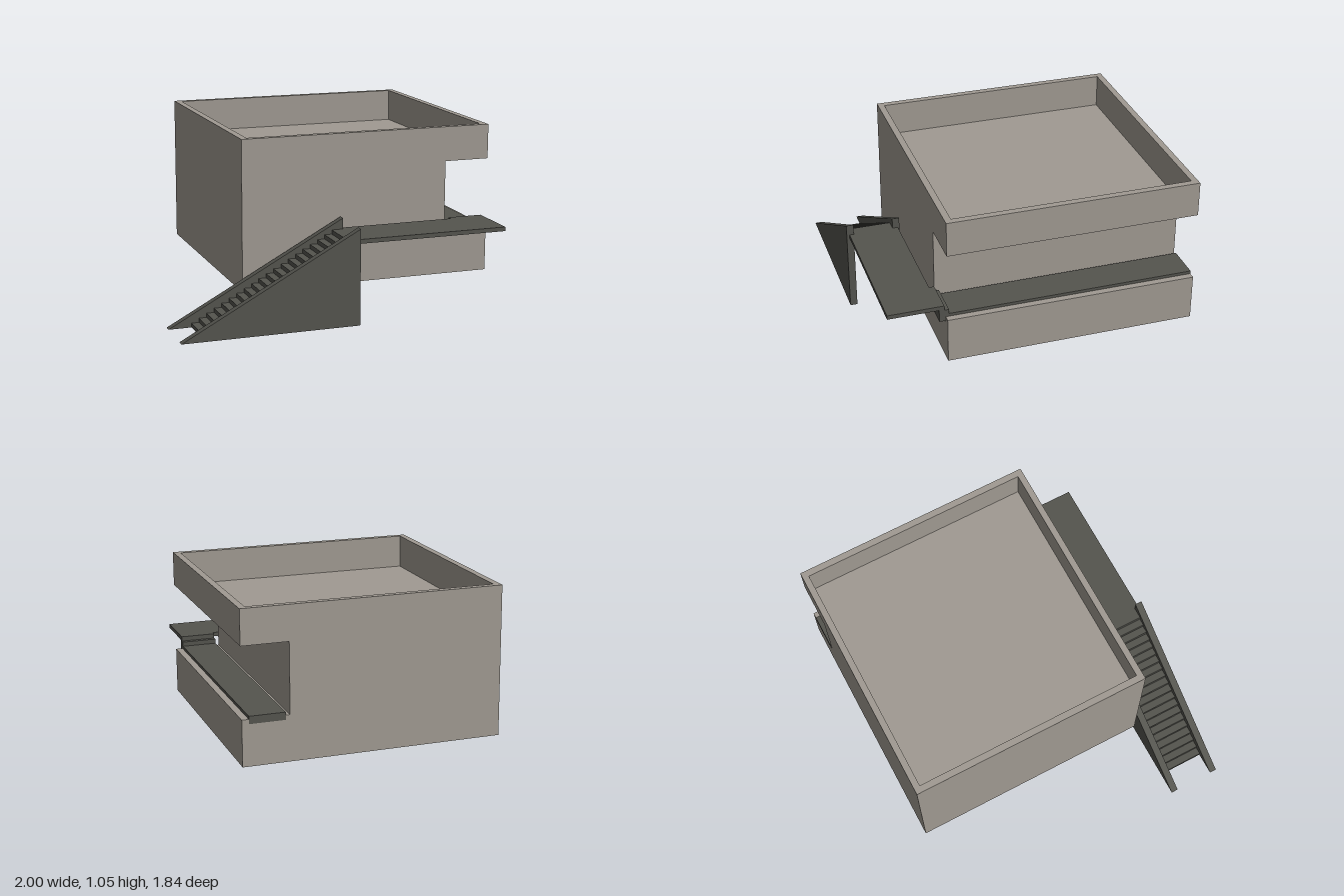
import * as THREE from 'three';

const concrete = new THREE.MeshStandardMaterial({ name: 'concrete', color: 0xa09a92 });
const darkSteel = new THREE.MeshStandardMaterial({ name: 'darkSteel', color: 0x54544e });

const polygon = (points) => new THREE.Shape(points.map(([x, y]) => new THREE.Vector2(x, y)));

// Extrudes an x/y profile from z0 to z1
function prism(shape, z0, z1) {
  const geometry = new THREE.ExtrudeGeometry(shape, { depth: z1 - z0, bevelEnabled: false });
  return geometry.translate(0, 0, z0);
}

function addMesh(parent, name, geometry, material) {
  const mesh = new THREE.Mesh(geometry, material);
  mesh.name = name;
  parent.add(mesh);
}

// Box given by its limits on each axis
function addBox(parent, name, [x0, x1], [y0, y1], [z0, z1], material) {
  const geometry = new THREE.BoxGeometry(x1 - x0, y1 - y0, z1 - z0);
  geometry.translate((x0 + x1) / 2, (y0 + y1) / 2, (z0 + z1) / 2);
  addMesh(parent, name, geometry, material);
}

export function createModel() {
  const model = new THREE.Group();
  model.name = 'buildingWithStair';
  const back = -0.918, front = 0.565, roof = 0.85;

  // Main block with the gallery cut into its left side
  const body = polygon([
    [-0.54, 0.155], [1, 0.155], [1, 0.427], [0.725, 0.427],
    [0.725, 0.843], [1, 0.843], [1, roof], [-0.54, roof],
  ]);
  addMesh(model, 'mainBlock', prism(body, back, front), concrete);

  // Parapet around the sunken roof
  const rim = polygon([[-0.54, -front], [1, -front], [1, -back], [-0.54, -back]]);
  rim.holes.push(polygon([[-0.5, -0.527], [-0.5, 0.88], [0.96, 0.88], [0.96, -0.527]]));
  const parapet = prism(rim, 0, 1.05 - roof).rotateX(-Math.PI / 2).translate(0, roof, 0);
  addMesh(model, 'parapet', parapet, concrete);

  // Gallery floor and the steps up to the landing
  addBox(model, 'galleryFloor', [0.75, 0.96], [0.4, 0.445], [back - 0.001, 0.545], darkSteel);
  addBox(model, 'lowerGalleryStep', [0.75, 0.96], [0.4, 0.472], [0.545, 0.575], darkSteel);
  addBox(model, 'upperGalleryStep', [0.75, 0.96], [0.4, 0.5], [0.572, 0.602], darkSteel);

  // Landing
  addBox(model, 'landing', [-0.02, 0.96], [0.475, 0.5], [0.602, 0.9], darkSteel);

  // Stair: open treads between two triangular side walls
  const stair = new THREE.Group();
  stair.name = 'stair';
  model.add(stair);
  const count = 19, run = 0.845 / count, rise = 0.475 / count;
  for (let i = 0; i < count; i++) {
    const x = -0.865 + i * run, y = i * rise;
    addBox(stair, 'tread', [x, x + run], [y, y + rise], [0.63, 0.877], darkSteel);
  }
  const side = polygon([[-1, 0], [0.05, 0], [0.05, 0.565]]);
  for (const z of [0.592, 0.874]) {
    addMesh(stair, 'stairSideWall', prism(side, z, z + 0.043), darkSteel);
  }
  return model;
}
